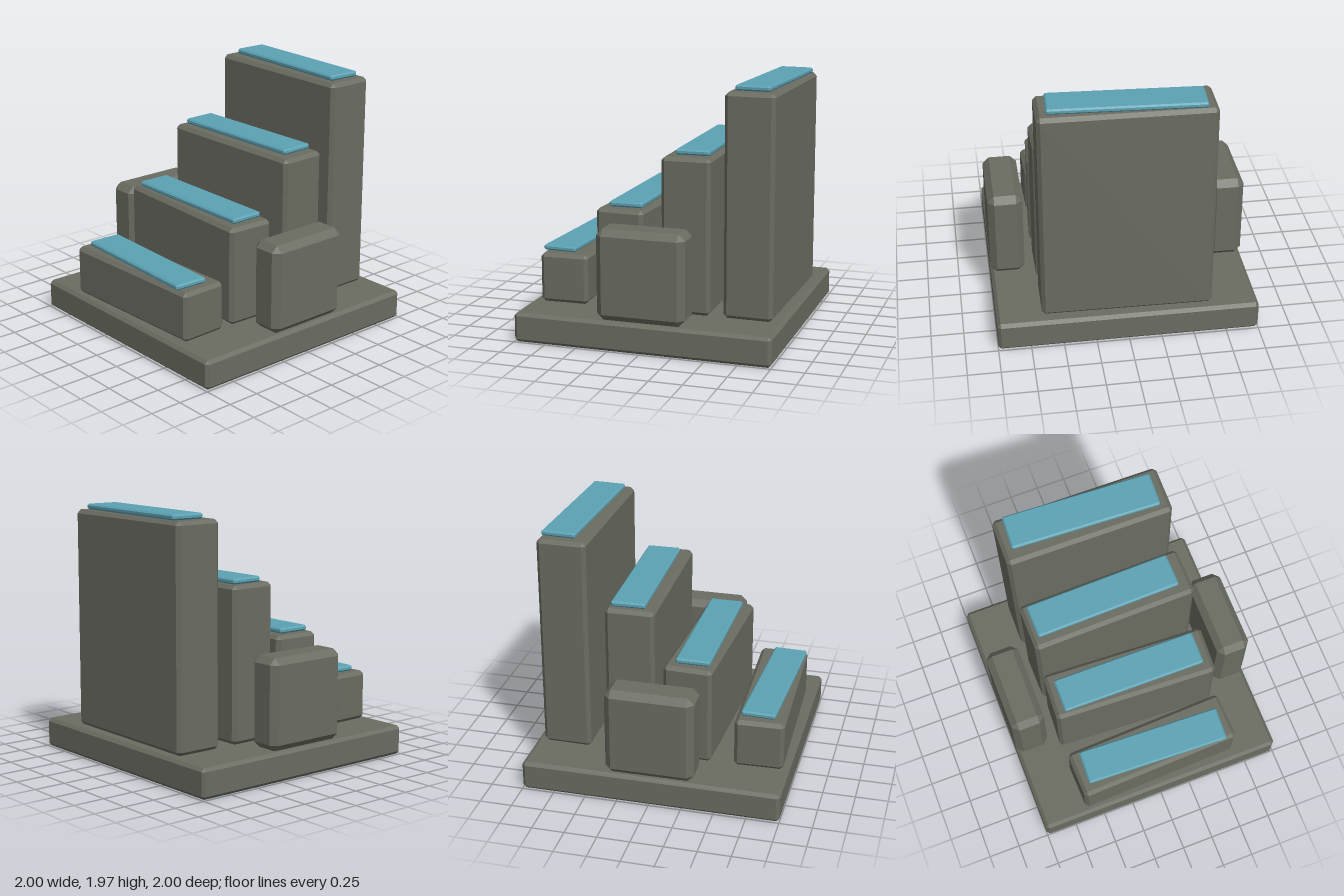
import * as THREE from 'three';
import { ConvexGeometry } from 'three/addons/geometries/ConvexGeometry.js';

// Box standing on y = 0 with every edge and corner cut flat by c
function chamferBox(w, h, d, c) {
  const points = [];
  for (const sx of [-1, 1]) for (const sy of [-1, 1]) for (const sz of [-1, 1]) {
    for (let axis = 0; axis < 3; axis++) {
      const inset = [0, 1, 2].map((i) => (i === axis ? 0 : c));
      points.push(new THREE.Vector3(
        sx * (w / 2 - inset[0]),
        h / 2 + sy * (h / 2 - inset[1]),
        sz * (d / 2 - inset[2])
      ));
    }
  }
  return new ConvexGeometry(points);
}

export function createModel() {
  const stone = new THREE.MeshStandardMaterial({ name: 'greyStone', color: 0x6a6c61, flatShading: true });
  const teal = new THREE.MeshStandardMaterial({ name: 'tealCap', color: 0x5ca2b4, flatShading: true });
  const model = new THREE.Group();
  model.name = 'steppedPillars';

  const add = (name, material, [w, h, d], c, [x, y, z], turn = 0) => {
    const mesh = new THREE.Mesh(chamferBox(w, h, d, c), material);
    mesh.name = name;
    mesh.position.set(x, y, z);
    mesh.rotation.y = turn;
    model.add(mesh);
  };

  // Square base
  const baseTop = 0.23;
  add('base', stone, [2, baseTop, 2], 0.025, [0, 0, 0]);

  // Rising walls, each slightly turned, with its own loosely placed cap
  const walls = [
    { x: -0.748, top: 0.617, turn: 0.03, capX: -0.767, capZ: 0.005, capTurn: -0.042 },
    { x: -0.242, top: 1.0, turn: -0.05, capX: -0.243, capZ: 0, capTurn: -0.009 },
    { x: 0.24, top: 1.425, turn: 0.012, capX: 0.262, capZ: -0.02, capTurn: 0.017 },
    { x: 0.738, top: 1.925, turn: -0.013, capX: 0.758, capZ: 0.005, capTurn: -0.047 },
  ];
  walls.forEach((s, i) => {
    add(`wall${i + 1}`, stone, [0.38, s.top - baseTop, 1.3], 0.028, [s.x, baseTop, 0.005], s.turn);
    add(`wallCap${i + 1}`, teal, [0.265, 0.042, 1.15], 0.012, [s.capX, s.top + 0.003, s.capZ], s.capTurn);
  });

  // Low blocks at the front and back edges
  for (const [name, side] of [['frontBlock', 1], ['backBlock', -1]]) {
    add(name, stone, [0.685, 0.695, 0.268], 0.05, [0, baseTop, side * 0.866]);
  }
  return model;
}
